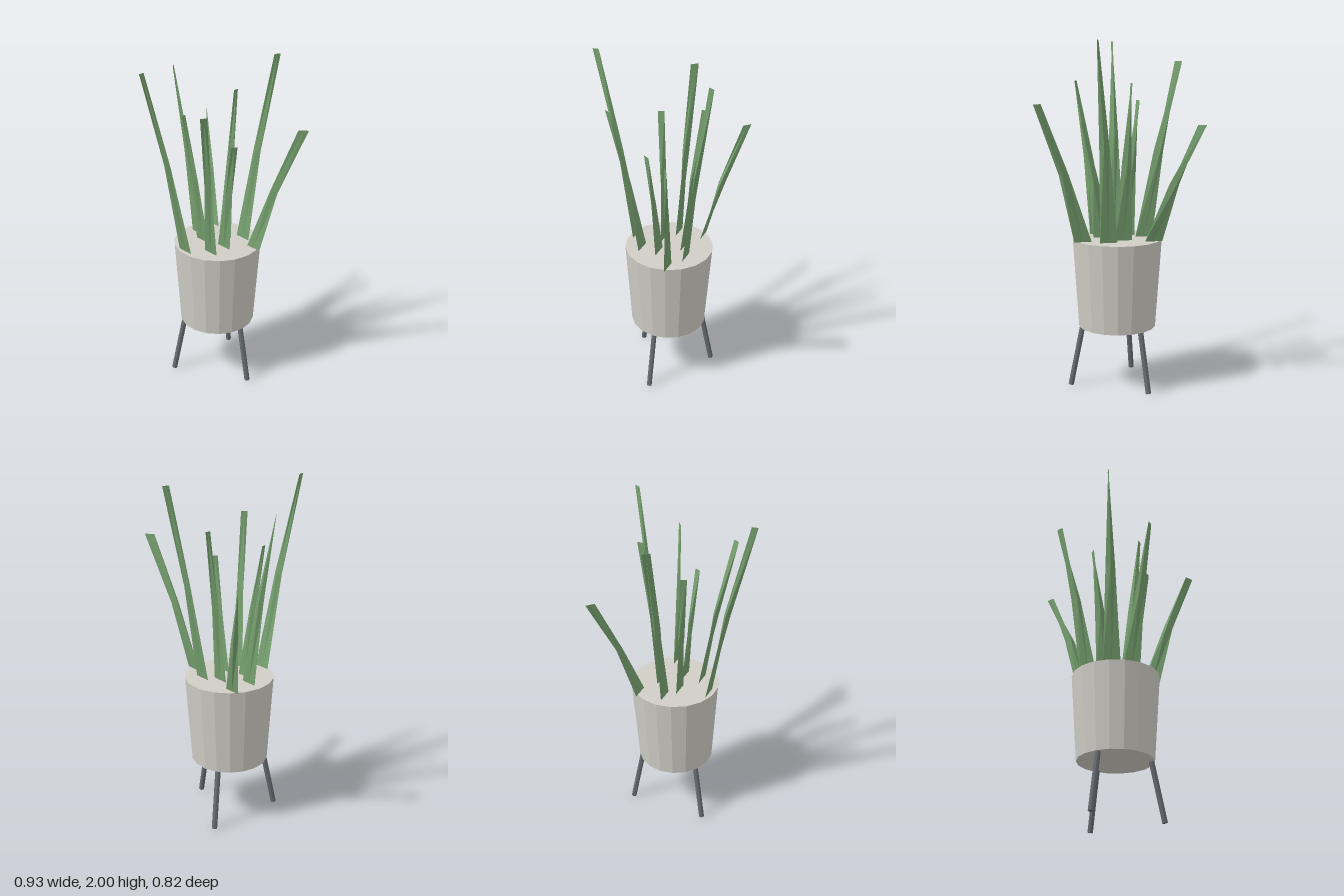
import * as THREE from 'three';

const mat = (name, color) => {
  const m = new THREE.MeshStandardMaterial({ color, flatShading: true });
  m.name = name;
  return m;
};

const POT = { x: -0.035, z: -0.095, bottom: 0.355, top: 0.875 };

// Blade: flat at the soil, diamond section halfway, narrow edge along z at the tip
function bladeGeometry(bx, bz, tx, tz, height) {
  const dx = tx - bx, dz = tz - bz;
  // height fraction, lean fraction, half width, half depth
  const rows = [[0, 0, 0.05, 0], [0.5, 0.43, 0.028, 0.0175], [1, 1, 0.001, 0.0175]];
  const pos = [], index = [];
  rows.forEach(([t, lean, w, d]) => {
    const x = bx + dx * lean, z = bz + dz * lean;
    const y = POT.top + (height - POT.top) * t;
    const skew = -0.085 * dx * t;
    pos.push(x - w, y, z, x + skew, y, z + d, x + w, y, z, x - skew, y, z - d);
  });
  for (let r = 0; r < 2; r++) {
    for (let j = 0; j < 4; j++) {
      const a = r * 4 + j, b = r * 4 + (j + 1) % 4;
      index.push(a, b, b + 4, a, b + 4, a + 4);
    }
  }
  index.push(8, 9, 10, 8, 10, 11); // tip cap
  const g = new THREE.BufferGeometry();
  g.setAttribute('position', new THREE.Float32BufferAttribute(pos, 3));
  g.setIndex(index);
  const flat = g.toNonIndexed();
  flat.computeVertexNormals();
  return flat;
}

export function createModel() {
  const group = new THREE.Group();
  group.name = 'pottedPlant';
  const potMat = mat('stoneGrey', 0xcfcdc5);
  const legMat = mat('darkSteel', 0x666c72);
  const leafMat = mat('leafGreen', 0x76a06f);

  // Tapered pot
  const h = POT.top - POT.bottom;
  const pot = new THREE.Mesh(
    new THREE.CylinderGeometry(0.26, 0.225, h, 18, 1, false, Math.PI / 2), potMat);
  pot.name = 'pot';
  pot.position.set(POT.x, POT.bottom + h / 2, POT.z);
  group.add(pot);

  // Three splayed legs
  const up = new THREE.Vector3(0, 1, 0);
  for (let i = 0; i < 3; i++) {
    const a = (i * Math.PI * 2) / 3;
    const at = (r, y) => new THREE.Vector3(POT.x + r * Math.cos(a), y, POT.z + r * Math.sin(a));
    const foot = at(0.275, 0.004), head = at(0.203, 0.365);
    const dir = head.clone().sub(foot);
    const leg = new THREE.Mesh(
      new THREE.CylinderGeometry(0.016, 0.016, dir.length(), 8), legMat);
    leg.name = 'leg' + (i + 1);
    leg.position.copy(foot).add(head).multiplyScalar(0.5);
    leg.quaternion.setFromUnitVectors(up, dir.normalize());
    group.add(leg);
  }

  // Blades: base x, base z, tip x, tip z, tip height
  [
    [-0.065, 0.135, -0.098, 0.395, 2.0],
    [0.04, -0.235, 0.13, -0.395, 2.0],
    [-0.22, -0.235, -0.45, -0.393, 1.545],
    [0.18, -0.185, 0.443, -0.285, 1.66],
    [-0.055, -0.18, -0.077, -0.278, 1.77],
    [-0.195, -0.087, -0.393, -0.078, 1.885],
    [-0.1, -0.035, -0.182, 0.032, 1.66],
    [0.05, -0.068, 0.157, -0.039, 1.545],
    [0.052, 0.04, 0.16, 0.193, 1.77],
  ].forEach((b, i) => {
    const blade = new THREE.Mesh(bladeGeometry(...b), leafMat);
    blade.name = 'leafBlade' + (i + 1);
    group.add(blade);
  });

  return group;
}
